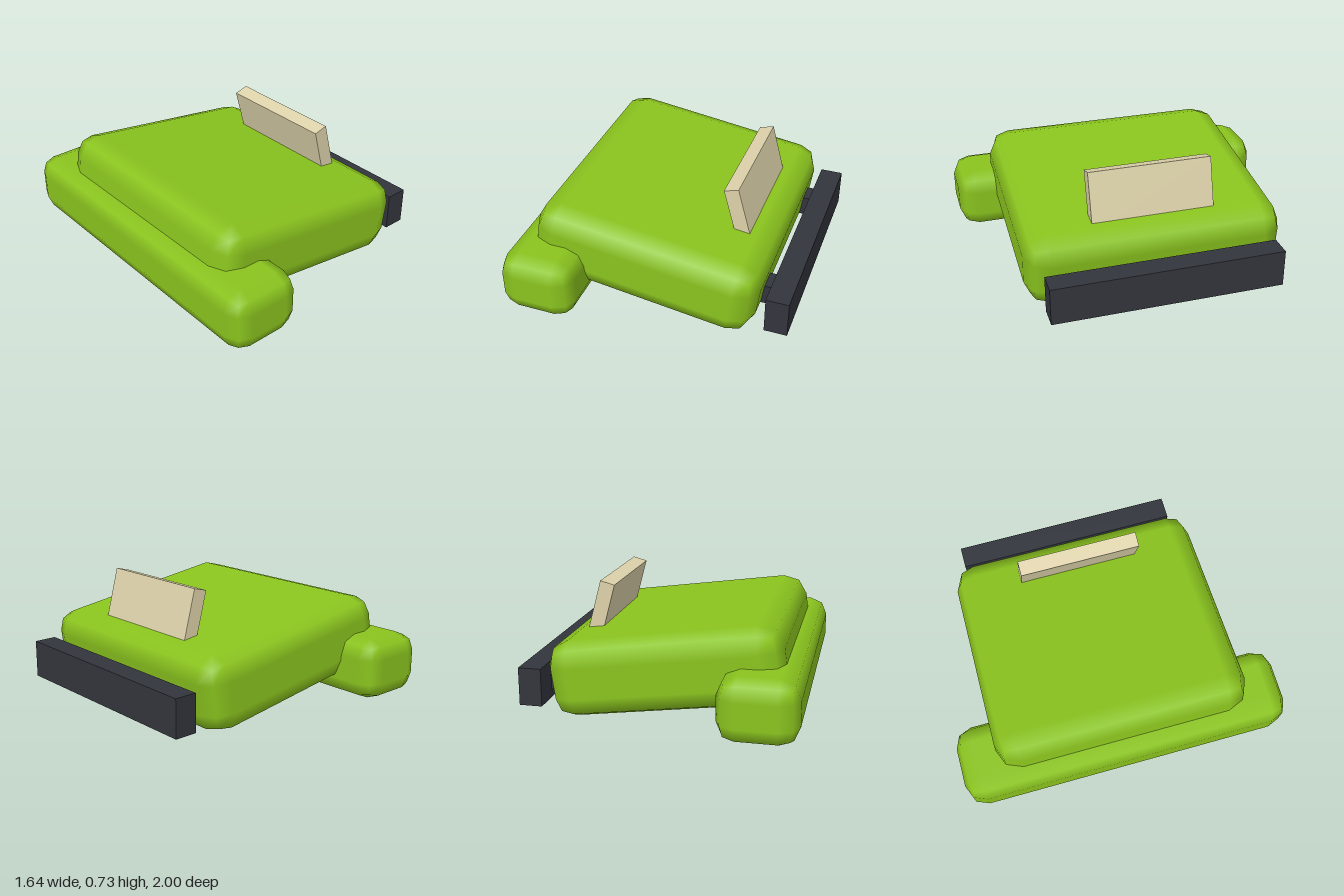
import * as THREE from 'three';
import { RoundedBoxGeometry } from 'three/addons/geometries/RoundedBoxGeometry.js';

const material = (color) => new THREE.MeshStandardMaterial({ color });

export function createModel() {
  const model = new THREE.Group();
  const green = material(0x8ac41e);
  const beige = material(0xddd2aa);
  const dark = material(0x33353d);

  const add = (name, geometry, mat, [x, y, z], tilt = 0) => {
    const mesh = new THREE.Mesh(geometry, mat);
    mesh.name = name;
    mesh.position.set(x, y, z);
    mesh.rotation.z = tilt;
    model.add(mesh);
  };

  // Sloping main body and the wide bar across its raised end, single-step bevels
  add('body', new RoundedBoxGeometry(1.354, 0.45, 1.54, 1, 0.135), green, [-0.041, 0.303, 0], -0.14);
  add('crossBar', new RoundedBoxGeometry(0.45, 0.365, 2, 1, 0.11), green, [-0.595, 0.213, 0]);

  // Upright plate leaning back over the body
  add('plate', new THREE.BoxGeometry(0.088, 0.36, 0.73), beige, [0.419, 0.554, 0], 0.26);

  // Bumper and its two mounts
  add('bumper', new THREE.BoxGeometry(0.135, 0.225, 1.37), dark, [0.75, 0.168, 0]);
  for (const side of [-1, 1]) {
    add(side > 0 ? 'frontMount' : 'rearMount', new THREE.BoxGeometry(0.18, 0.125, 0.125), dark, [0.61, 0.168, side * 0.457]);
  }
  return model;
}
